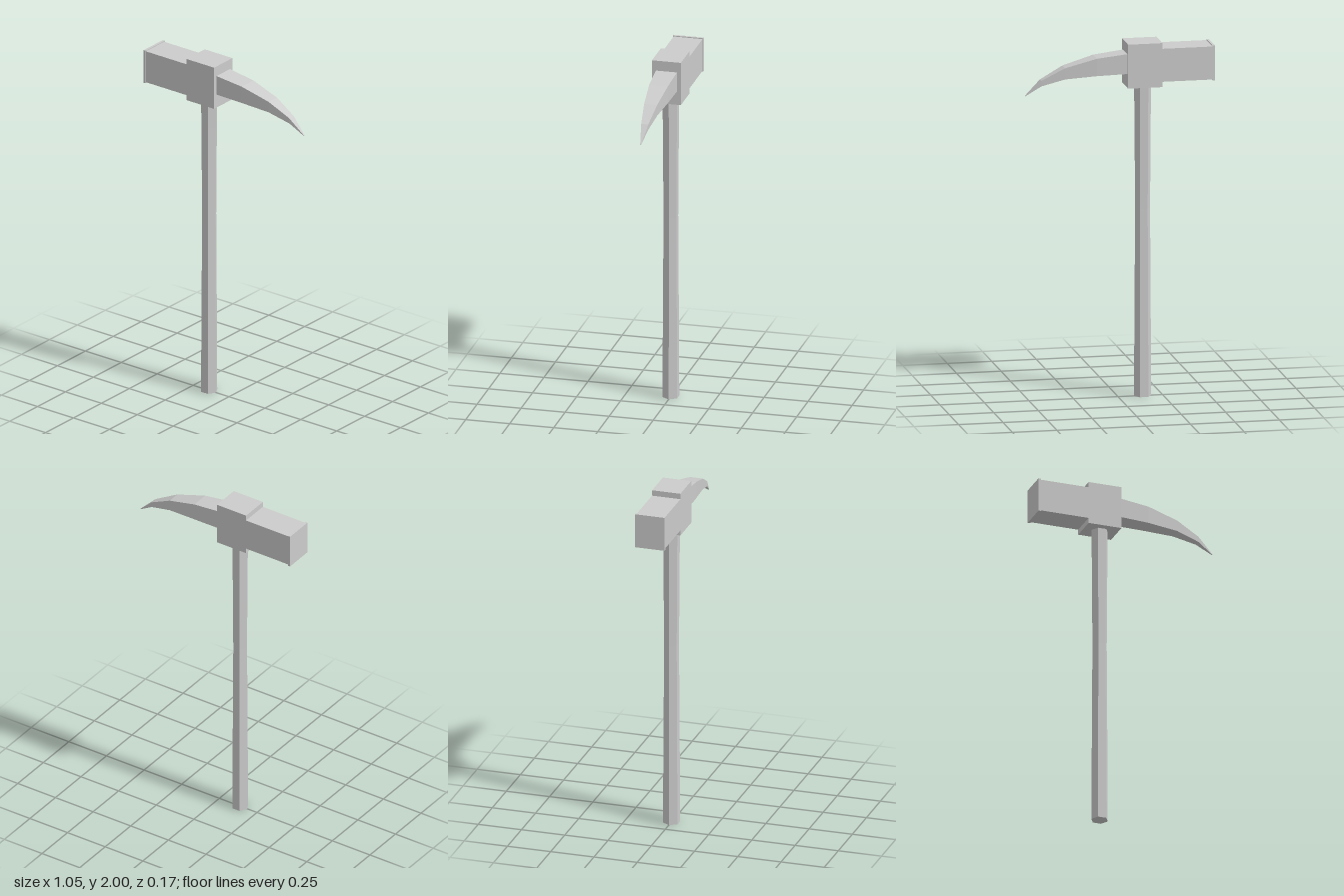
import * as THREE from 'three';

export function createModel() {
  const group = new THREE.Group();
  const steel = new THREE.MeshStandardMaterial({ color: 0xcccccc, flatShading: true });
  steel.name = 'plainGrey';

  const add = (name, geometry) => {
    const mesh = new THREE.Mesh(geometry, steel);
    mesh.name = name;
    group.add(mesh);
    return mesh;
  };
  // Box given by its x and y limits and its depth
  const block = (name, x0, x1, y0, y1, depth) =>
    add(name, new THREE.BoxGeometry(x1 - x0, y1 - y0, depth))
      .position.set((x0 + x1) / 2, (y0 + y1) / 2, 0);

  // Six-sided handle, slightly waisted, a corner towards each side
  const profile = [[0, 0], [0.048, 0], [0.047, 0.25], [0.042, 1.06], [0.046, 1.6], [0.048, 1.76], [0, 1.76]]
    .map(([r, y]) => new THREE.Vector2(r, y));
  add('handle', new THREE.LatheGeometry(profile, 6, Math.PI / 2)).position.x = -0.138;

  // Hammer head
  block('headCollar', -0.233, -0.04, 1.752, 2, 0.164);
  block('hammerBlock', -0.516, -0.233, 1.782, 1.968, 0.164);
  block('strikingFace', -0.528, -0.514, 1.777, 1.973, 0.172);

  // Curved spike: rectangular sections [x, bottom, top, half width]
  const sections = [
    [-0.042, 1.83, 1.942, 0.06],
    [0.13, 1.824, 1.922, 0.053],
    [0.305, 1.81, 1.873, 0.037],
    [0.435, 1.773, 1.804, 0.02],
    [0.523, 1.716, 1.719, 0.003],
  ];
  const positions = [];
  const index = [];
  const quad = (a, b, c, d) => index.push(a, b, c, a, c, d);
  sections.forEach(([x, low, high, w], i) => {
    positions.push(x, low, w, x, low, -w, x, high, -w, x, high, w);
    if (i === 0) return;
    for (let k = 0; k < 4; k++) {
      const a = (i - 1) * 4 + k, b = (i - 1) * 4 + (k + 1) % 4;
      quad(a, b, b + 4, a + 4);
    }
  });
  const last = (sections.length - 1) * 4;
  quad(3, 2, 1, 0);
  quad(last, last + 1, last + 2, last + 3);
  const spike = new THREE.BufferGeometry();
  spike.setAttribute('position', new THREE.Float32BufferAttribute(positions, 3));
  spike.setIndex(index);
  const flatSpike = spike.toNonIndexed();
  flatSpike.computeVertexNormals();
  add('spike', flatSpike);

  return group;
}
